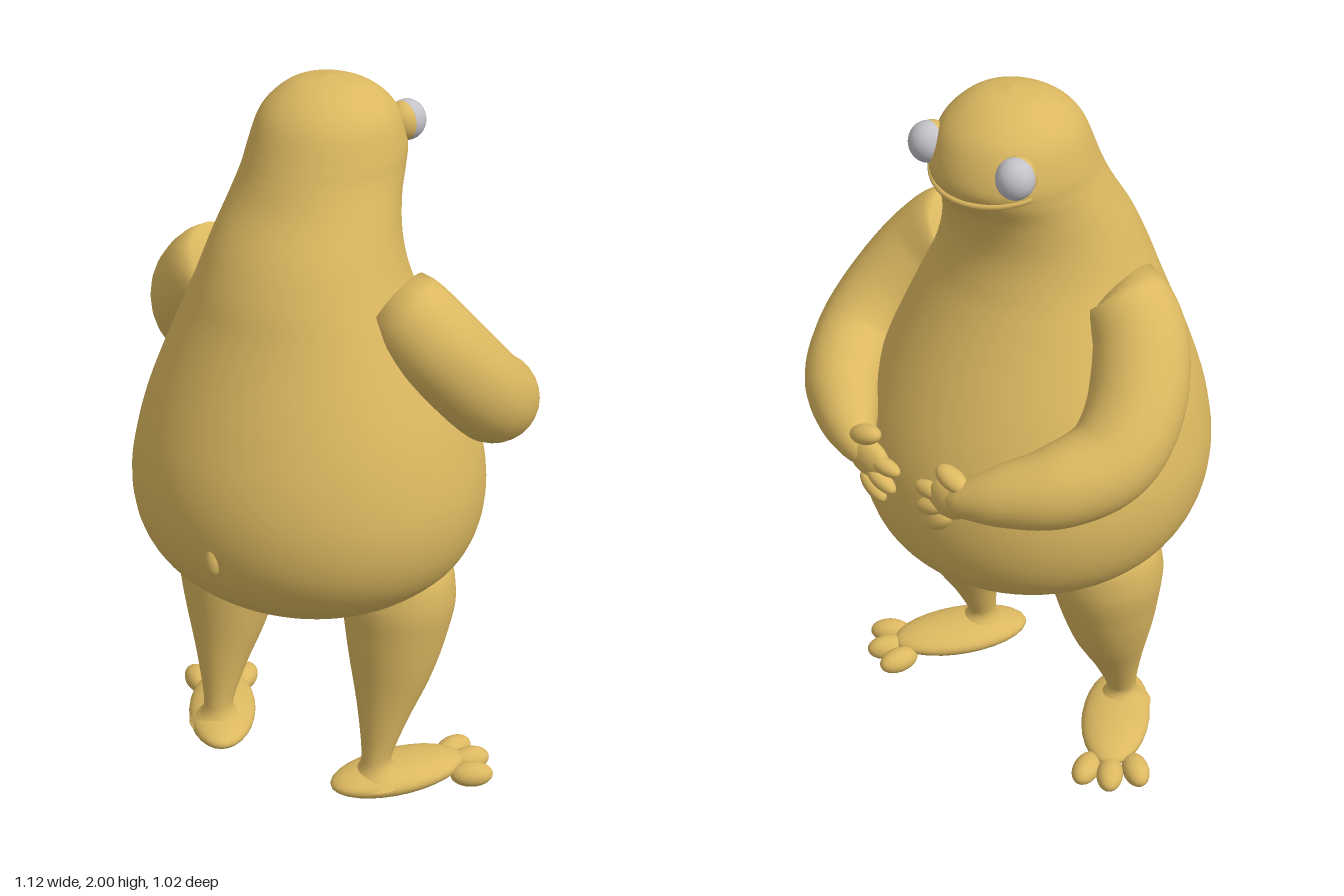
import * as THREE from 'three';

const skin = new THREE.MeshStandardMaterial({ color: 0xdcb860 });
skin.name = 'goldenSkin';
const eyeGrey = new THREE.MeshStandardMaterial({ color: 0xc2c2c8 });
eyeGrey.name = 'eyeGrey';

const V = (x, y, z) => new THREE.Vector3(x, y, z);

function mesh(name, geometry, material = skin) {
  const m = new THREE.Mesh(geometry, material);
  m.name = name;
  return m;
}

// Joins closed rings into a smooth skin; point(i, angle) gives each vertex
function loft(rings, sides, point) {
  const pos = [], idx = [];
  for (let i = 0; i < rings; i++)
    for (let j = 0; j < sides; j++) pos.push(...point(i, (j / sides) * Math.PI * 2).toArray());
  for (let i = 0; i < rings - 1; i++)
    for (let j = 0; j < sides; j++) {
      const k = (j + 1) % sides;
      const a = i * sides + j, b = i * sides + k, c = a + sides, d = b + sides;
      idx.push(a, b, c, b, d, c);
    }
  const g = new THREE.BufferGeometry();
  g.setAttribute('position', new THREE.Float32BufferAttribute(pos, 3));
  g.setIndex(idx);
  g.computeVertexNormals();
  return g;
}

// Tapering limb through rows of [x, y, z, radius]; s mirrors it in x
function limb(rows, s, steps = 48) {
  const path = new THREE.CatmullRomCurve3(rows.map(r => V(r[0] * s, r[1], r[2])), false, 'catmullrom');
  const radii = new THREE.CatmullRomCurve3(rows.map(r => V(r[3], 0, 0)), false, 'catmullrom');
  const frames = path.computeFrenetFrames(steps);
  return loft(steps + 1, 28, (i, a) => {
    const t = path.getUtoTmapping(i / steps);
    const r = Math.max(0, radii.getPoint(t).x);
    return path.getPoint(t)
      .addScaledVector(frames.normals[i], Math.cos(a) * r)
      .addScaledVector(frames.binormals[i], Math.sin(a) * r);
  });
}

// Ellipsoid whose long axis (first radius) points along dir
function blob(name, centre, radii, dir = V(1, 0, 0), material = skin) {
  const m = mesh(name, new THREE.SphereGeometry(1, 28, 18), material);
  m.scale.set(...radii);
  m.position.copy(centre);
  m.quaternion.setFromUnitVectors(V(1, 0, 0), dir.clone().normalize());
  return m;
}

// Body rows: y, half width, back z, front z
const BODY = [
  [2.0, 0, -0.06, -0.06], [1.985, 0.085, 0.02, -0.14], [1.95, 0.14, 0.085, -0.205],
  [1.9, 0.178, 0.13, -0.25], [1.82, 0.2, 0.168, -0.277], [1.77, 0.207, 0.19, -0.265],
  [1.7, 0.222, 0.225, -0.222], [1.6, 0.248, 0.29, -0.203], [1.5, 0.28, 0.338, -0.22],
  [1.4, 0.325, 0.372, -0.26], [1.2, 0.41, 0.45, -0.36], [1.05, 0.455, 0.496, -0.42],
  [0.92, 0.476, 0.507, -0.442], [0.8, 0.462, 0.483, -0.432], [0.7, 0.412, 0.42, -0.39],
  [0.62, 0.318, 0.32, -0.305], [0.56, 0.19, 0.19, -0.17], [0.535, 0.1, 0.11, -0.08], [0.525, 0, 0.01, 0.01],
];

function createBody() {
  const back = new THREE.CatmullRomCurve3(BODY.map(r => V(r[1], r[0], r[2])), false, 'catmullrom');
  const front = new THREE.CatmullRomCurve3(BODY.map(r => V(r[1], r[0], r[3])), false, 'catmullrom');
  const n = 90;
  return mesh('body', loft(n + 1, 64, (i, a) => {
    const b = back.getPoint(i / n), f = front.getPoint(i / n);
    return V(Math.max(0, b.x) * Math.cos(a), b.y, (b.z + f.z) / 2 + ((b.z - f.z) / 2) * Math.sin(a));
  }));
}

function createEye(s) {
  const g = new THREE.Group();
  g.name = s > 0 ? 'leftEye' : 'rightEye';
  const out = V(0.6 * s, 0, -0.8);
  const c = V(0.143 * s, 1.862, -0.212);
  g.add(blob('eyeball', c, [0.05, 0.054, 0.05], out, eyeGrey));
  g.add(blob('eyeSocket', c.clone().add(V(-0.003 * s, 0, 0.013)), [0.046, 0.052, 0.048], out));
  return g;
}

function createArm(s) {
  const g = new THREE.Group();
  g.name = s > 0 ? 'leftArm' : 'rightArm';
  g.add(mesh('arm', limb([
    [0.255, 1.475, 0.045, 0], [0.262, 1.472, 0.045, 0.085], [0.29, 1.452, 0.042, 0.116],
    [0.365, 1.36, 0.01, 0.127], [0.425, 1.24, -0.08, 0.126], [0.433, 1.15, -0.19, 0.12],
    [0.37, 1.105, -0.315, 0.108], [0.275, 1.08, -0.405, 0.083], [0.2, 1.06, -0.452, 0.056],
    [0.15, 1.045, -0.468, 0.035], [0.13, 1.04, -0.47, 0],
  ], s)));
  // Hand: palm, raised thumb and three fingers
  g.add(blob('palm', V(0.14 * s, 1.04, -0.468), [0.068, 0.055, 0.033], V(-s, -0.25, 0)));
  g.add(blob('thumb', V(0.15 * s, 1.108, -0.468), [0.052, 0.027, 0.03], V(-s, 0.35, 0)));
  [[0.078, 1.043, -0.474, -0.05], [0.085, 1.0, -0.482, -0.4], [0.115, 0.968, -0.482, -0.8]]
    .forEach(([x, y, z, dy]) =>
      g.add(blob('finger', V(x * s, y, z), [0.05, 0.023, 0.023], V(-s, dy, 0))));
  return g;
}

function createLeg(s) {
  const g = new THREE.Group();
  g.name = s > 0 ? 'leftLeg' : 'rightLeg';
  g.add(mesh('leg', limb([
    [0.265, 0.77, 0.01, 0], [0.268, 0.72, 0.01, 0.125], [0.272, 0.62, 0.01, 0.155],
    [0.272, 0.5, 0.022, 0.139], [0.27, 0.38, 0.042, 0.111], [0.267, 0.25, 0.075, 0.07],
    [0.264, 0.14, 0.1, 0.043], [0.264, 0.1, 0.102, 0.048], [0.266, 0.06, 0.1, 0.085],
  ], s)));
  // Foot turned outward, with three toes
  const dir = V(0.55 * s, 0, -0.83), side = V(0.83 * s, 0, 0.55);
  const c = V(0.295 * s, 0.055, 0.04);
  g.add(blob('foot', c, [0.2, 0.045, 0.096], dir));
  [[0.205, -0.062], [0.222, 0.005], [0.195, 0.075]].forEach(([along, across]) => {
    const p = c.clone().addScaledVector(dir, along).addScaledVector(side, across);
    p.y = 0.037;
    g.add(blob('toe', p, [0.06, 0.035, 0.037], dir.clone().addScaledVector(side, across * 5)));
  });
  return g;
}

export function createModel() {
  const model = new THREE.Group();
  model.name = 'roundBelliedCreature';
  model.add(createBody());

  // Smiling lip wrapped round the front of the head
  const lip = [];
  for (let i = -6; i <= 6; i++) {
    const a = (i / 6) * 0.95;
    lip.push(V(0.203 * Math.sin(a), 1.772 + 0.025 * (i / 6) ** 2, -0.044 - 0.226 * Math.cos(a)));
  }
  model.add(mesh('lip', new THREE.TubeGeometry(new THREE.CatmullRomCurve3(lip), 40, 0.008, 8)));

  // Small tail bump low on the back
  model.add(blob('tailBump', V(0, 0.85, 0.488), [0.022, 0.045, 0.022]));

  for (const s of [1, -1]) model.add(createEye(s), createArm(s), createLeg(s));
  return model;
}
